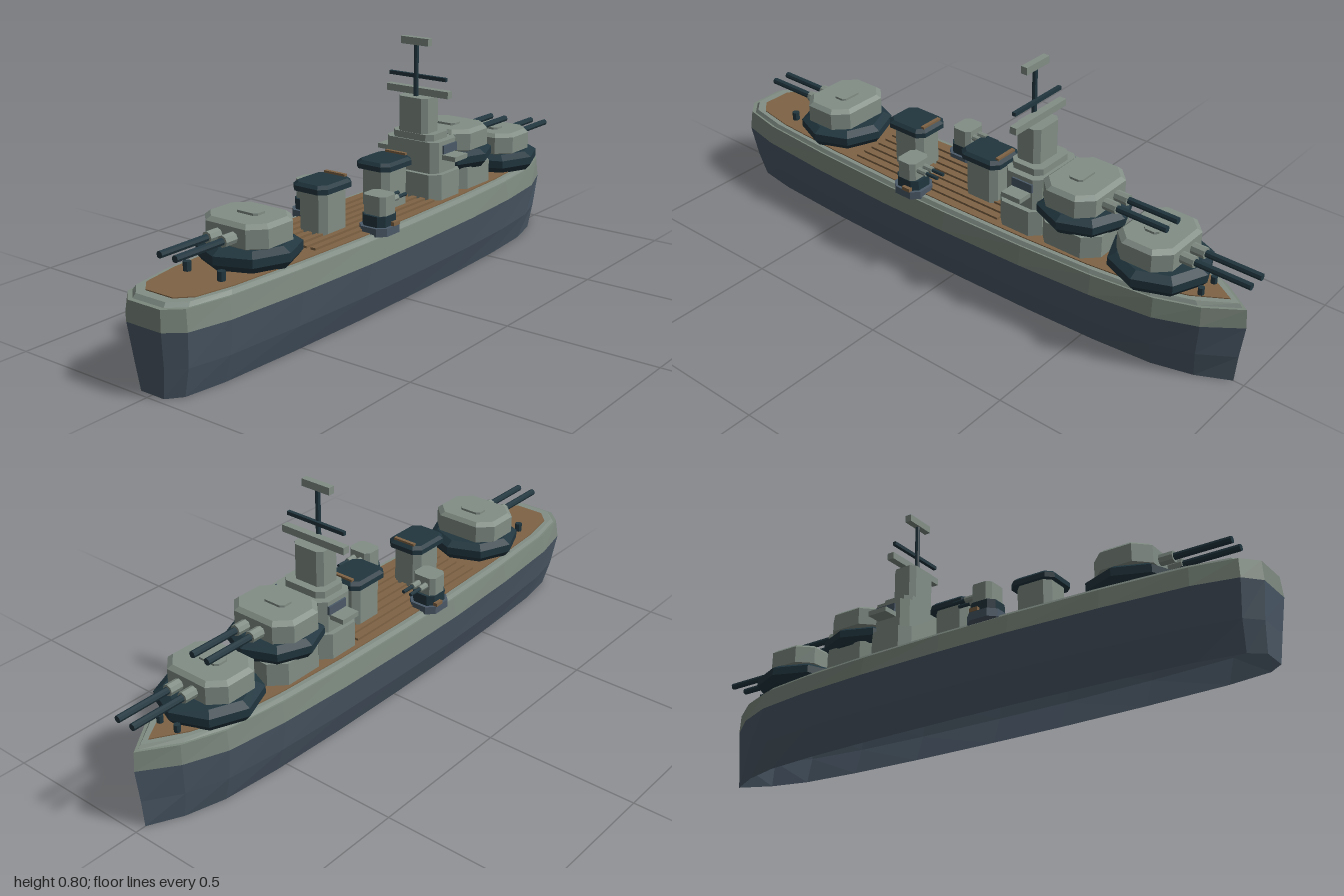
import * as THREE from 'three';

const mat = (name, color, side = THREE.FrontSide) => {
  const m = new THREE.MeshStandardMaterial({ color, side, flatShading: true });
  m.name = name;
  return m;
};

// Rings are [y, [[x, z], ...]], counter-clockwise from above, lowest first.
function loft(rings, capBottom = true, capTop = true) {
  const pos = [];
  const put = (y, p) => pos.push(p[0], y, p[1]);
  const n = rings[0][1].length;
  for (let r = 0; r < rings.length - 1; r++) {
    const [y0, lo] = rings[r], [y1, hi] = rings[r + 1];
    for (let i = 0; i < n; i++) {
      const j = (i + 1) % n;
      put(y0, lo[i]); put(y0, lo[j]); put(y1, hi[j]);
      put(y0, lo[i]); put(y1, hi[j]); put(y1, hi[i]);
    }
  }
  const cap = ([y, ring], up) => {
    for (let i = 0; i < n; i++) {
      const a = ring[i], b = ring[(i + 1) % n];
      put(y, [0, 0]); put(y, up ? a : b); put(y, up ? b : a);
    }
  };
  if (capBottom) cap(rings[0], false);
  if (capTop) cap(rings[rings.length - 1], true);
  const g = new THREE.BufferGeometry();
  g.setAttribute('position', new THREE.Float32BufferAttribute(pos, 3));
  g.computeVertexNormals();
  return g;
}

// Rectangle with cut corners (half width, half depth, cut)
const chamfered = (w, d, c) => [[w - c, d], [w, d - c], [w, c - d], [w - c, -d],
  [c - w, -d], [-w, c - d], [-w, d - c], [c - w, d]];

// Regular octagon with a corner on each axis
const octagon = r => Array.from({ length: 8 }, (_, i) =>
  [r * Math.sin(i * Math.PI / 4), r * Math.cos(i * Math.PI / 4)]);

// Half plan of the ship from stern (+z) to bow (-z)
const PLAN = [[0.065, 1], [0.118, 0.955], [0.148, 0.82], [0.168, 0.55], [0.179, 0.25], [0.179, 0],
  [0.172, -0.3], [0.157, -0.55], [0.13, -0.75], [0.078, -0.88], [0, -0.985]];
const plan = (sx, sz) => {
  const half = PLAN.map(([x, z]) => [x * sx, z * sz]);
  return [...half, ...half.slice(0, -1).reverse().map(([x, z]) => [-x, z])];
};

export function createModel() {
  const ship = new THREE.Group();
  ship.name = 'warship';
  const grey = mat('light grey', 0x828e86);
  const band = mat('upper hull grey', 0x7b877d, THREE.DoubleSide);
  const steel = mat('hull blue grey', 0x4b5967, THREE.DoubleSide);
  const dark = mat('dark slate', 0x21363f);
  const tan = mat('deck wood', 0x7f6344);

  const add = (parent, name, geo, m, x = 0, y = 0, z = 0) => {
    const mesh = new THREE.Mesh(geo, m);
    mesh.name = name;
    mesh.position.set(x, y, z);
    parent.add(mesh);
    return mesh;
  };
  const box = (parent, name, w, h, d, m, x, y, z) =>
    add(parent, name, new THREE.BoxGeometry(w, h, d), m, x, y, z);
  const prism = (parent, name, w, d, c, y0, y1, m, x = 0, z = 0) =>
    add(parent, name, loft([[y0, chamfered(w, d, c)], [y1, chamfered(w, d, c)]]), m, x, 0, z);
  const rod = (parent, name, r, z0, z1, m, x, y) =>
    add(parent, name, new THREE.CylinderGeometry(r, r, z1 - z0, 8).rotateX(Math.PI / 2), m, x, y, (z0 + z1) / 2);

  // Hull, open underneath
  add(ship, 'lowerHull', loft([[0, plan(0.67, 0.98)], [0.09, plan(0.87, 0.987)], [0.2, plan(1, 1)]], false, false), steel);
  add(ship, 'upperHull', loft([[0.2, plan(1, 1)], [0.262, plan(0.93, 0.995)]], false), band).geometry =
    loft([[0.2, plan(1, 1)], [0.262, plan(0.93, 0.995)]], false, true);
  add(ship, 'gunwale', loft([[0.262, plan(0.9, 0.98)], [0.274, plan(0.86, 0.97)]]), grey);
  add(ship, 'deck', loft([[0.27, plan(0.78, 0.94)], [0.277, plan(0.78, 0.94)]], false), tan);
  for (let i = -3; i <= 3; i++) box(ship, 'deckPlank', 0.018, 0.008, 0.6, tan, i * 0.034, 0.28, 0.13);

  // Mooring posts
  for (const s of [1, -1]) {
    add(ship, 'bollard', new THREE.CylinderGeometry(0.012, 0.012, 0.03, 8), dark, s * 0.065, 0.29, 0.77);
    add(ship, 'bollard', new THREE.CylinderGeometry(0.01, 0.01, 0.025, 8), dark, s * 0.035, 0.288, -0.85);
  }

  // Main gun turrets, modelled facing +z
  function turret(name, y, z, reach, facing) {
    const g = new THREE.Group();
    g.name = name;
    add(g, 'gunHouse', loft([[0, chamfered(0.105, 0.085, 0.04)], [0.008, chamfered(0.12, 0.096, 0.045)],
      [0.064, chamfered(0.12, 0.096, 0.045)], [0.076, chamfered(0.106, 0.083, 0.04)]]), grey);
    prism(g, 'roofHatch', 0.04, 0.025, 0.01, 0.074, 0.083, grey, 0, -0.01);
    for (const s of [1, -1]) {
      rod(g, 'barrelSleeve', 0.018, 0.08, 0.14, grey, s * 0.029, 0.034);
      rod(g, 'gunBarrel', 0.011, 0.13, reach, dark, s * 0.029, 0.034);
    }
    g.position.set(0, y, z);
    g.rotation.y = facing;
    ship.add(g);
  }
  turret('sternTurret', 0.334, 0.587, 0.318, 0);
  turret('bowTurret', 0.334, -0.68, 0.32, Math.PI);
  turret('raisedTurret', 0.402, -0.411, 0.31, Math.PI);

  // Turret rings
  const ringMount = (name, y, h, r, z) => add(ship, name, loft([[y, octagon(r * 0.88)], [y + h * 0.35, octagon(r)],
    [y + h * 0.75, octagon(r)], [y + h, octagon(r * 0.83)]]), dark, 0, 0, z);
  ringMount('sternBarbette', 0.274, 0.064, 0.152, 0.585);
  ringMount('bowBarbette', 0.274, 0.064, 0.158, -0.69);
  ringMount('raisedBarbette', 0.345, 0.06, 0.145, -0.415);
  prism(ship, 'raisedTurretBase', 0.115, 0.11, 0.045, 0.27, 0.35, grey, 0, -0.42);

  // Funnels
  for (const z of [0.26, -0.048]) {
    prism(ship, 'funnel', 0.054, 0.062, 0.02, 0.27, 0.415, grey, 0, z);
    add(ship, 'funnelCap', loft([[0.408, chamfered(0.066, 0.078, 0.022)], [0.424, chamfered(0.066, 0.078, 0.022)],
      [0.434, chamfered(0.056, 0.068, 0.02)]]), dark, 0, 0, z);
    box(ship, 'funnelTrim', 0.08, 0.01, 0.012, tan, 0, 0.436, z - 0.062);
  }

  // Bridge and control tower
  prism(ship, 'bridgeBase', 0.12, 0.08, 0.03, 0.27, 0.362, grey, 0, -0.246);
  prism(ship, 'bridgeMiddle', 0.103, 0.068, 0.022, 0.36, 0.465, grey, 0, -0.25);
  prism(ship, 'bridgeTop', 0.08, 0.058, 0.02, 0.464, 0.487, grey, 0, -0.245);
  prism(ship, 'controlTower', 0.057, 0.044, 0.016, 0.485, 0.603, grey, 0, -0.233);
  box(ship, 'bridgeWing', 0.31, 0.016, 0.07, grey, 0, 0.413, -0.255);
  for (const s of [1, -1]) box(ship, 'bridgeWindow', 0.008, 0.028, 0.075, steel, s * 0.105, 0.437, -0.26);

  // Mast
  add(ship, 'mast', new THREE.CylinderGeometry(0.008, 0.008, 0.175, 8), dark, 0, 0.686, -0.218);
  box(ship, 'yardArm', 0.222, 0.012, 0.012, dark, 0, 0.667, -0.228);
  box(ship, 'rangeFinder', 0.242, 0.023, 0.024, grey, 0, 0.618, -0.234);
  box(ship, 'mastHead', 0.107, 0.024, 0.022, grey, 0, 0.783, -0.218);

  // Side guns, facing the bow
  for (const s of [1, -1]) {
    const g = new THREE.Group();
    g.name = s > 0 ? 'leftSideGun' : 'rightSideGun';
    prism(g, 'sponson', 0.052, 0.055, 0.024, 0.268, 0.294, steel);
    prism(g, 'gunCollar', 0.043, 0.045, 0.018, 0.294, 0.328, dark);
    prism(g, 'sideGunHouse', 0.042, 0.036, 0.014, 0.326, 0.388, grey);
    for (const x of [-0.014, 0.014]) {
      rod(g, 'sideBarrelSleeve', 0.01, -0.07, -0.03, grey, x, 0.361);
      rod(g, 'sideBarrel', 0.006, -0.115, -0.06, dark, x, 0.361);
    }
    box(g, 'sideStep', 0.018, 0.012, 0.03, tan, s * 0.046, 0.3, -0.015);
    g.position.set(s * 0.134, 0, 0.155);
    ship.add(g);
  }
  return ship;
}
